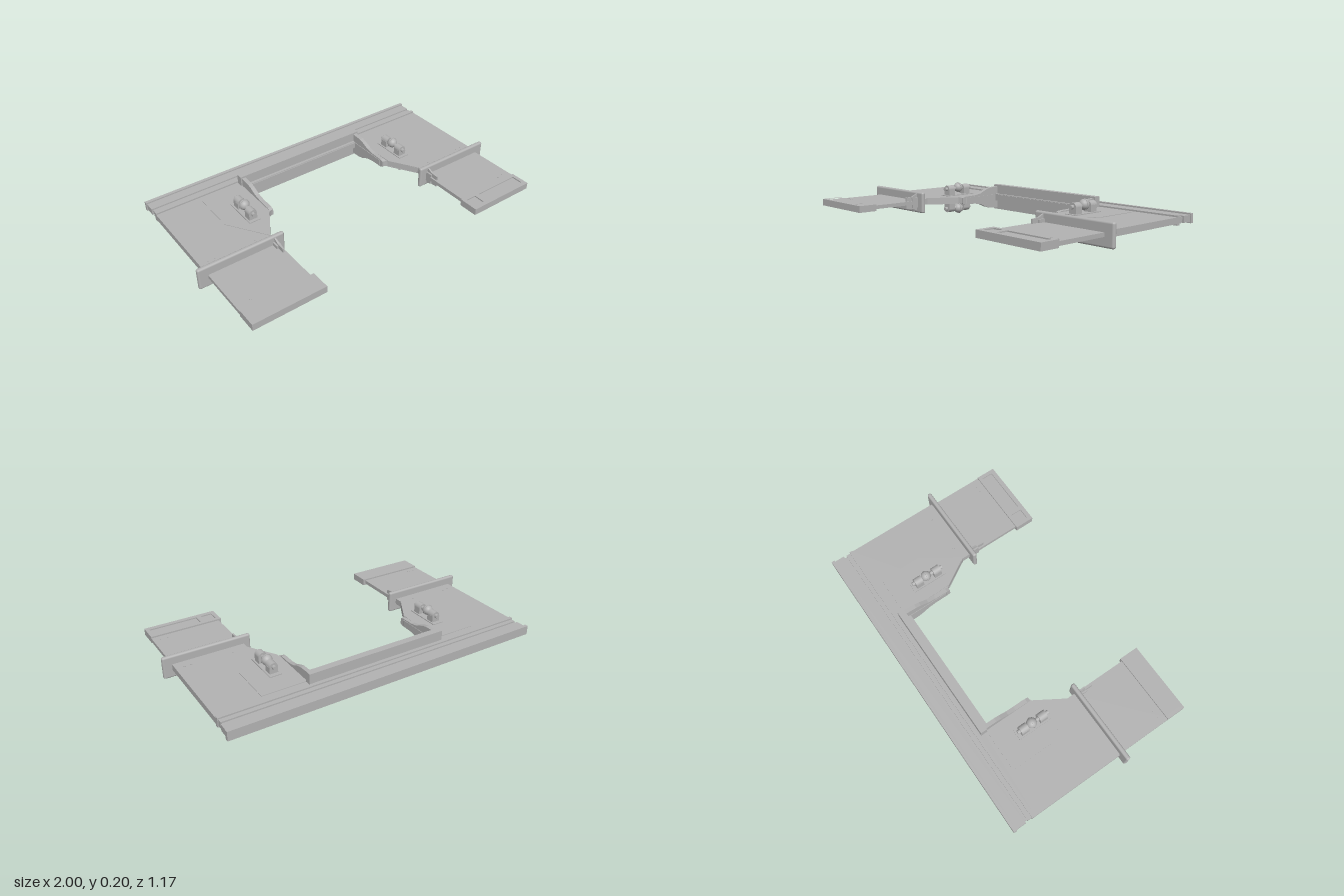
import * as THREE from 'three';
import { RoundedBoxGeometry } from 'three/addons/geometries/RoundedBoxGeometry.js';

const MID = 0.102; // height of the plane that everything is symmetric about

export function createModel() {
  const root = new THREE.Group();
  const grey = new THREE.MeshStandardMaterial({ color: 0xb2b2b2 });
  grey.name = 'light grey';

  const add = (parent, name, geometry) => {
    const mesh = new THREE.Mesh(geometry, grey);
    mesh.name = name;
    parent.add(mesh);
    return mesh;
  };
  const group = (parent, name) => {
    const g = new THREE.Group();
    g.name = name;
    parent.add(g);
    return g;
  };
  // Box given by its limits
  const box = (parent, name, x0, x1, y0, y1, z0, z1) =>
    add(parent, name, new THREE.BoxGeometry(Math.abs(x1 - x0), y1 - y0, z1 - z0)
      .translate((x0 + x1) / 2, (y0 + y1) / 2, (z0 + z1) / 2));
  // Box centred on the middle plane
  const slab = (parent, name, x0, x1, h, z0, z1) =>
    box(parent, name, x0, x1, MID - h / 2, MID + h / 2, z0, z1);
  const toShape = pts => new THREE.Shape(pts.map(p => new THREE.Vector2(p[0], p[1])));
  // Horizontal sheet from an (x, z) outline
  const sheet = (parent, name, shape, h, y = MID) =>
    add(parent, name, new THREE.ExtrudeGeometry(shape, { depth: h, bevelEnabled: false })
      .rotateX(Math.PI / 2).translate(0, y + h / 2, 0));
  // Upright sheet from a (z, y) outline
  const upright = (parent, name, pts, x, w) =>
    add(parent, name, new THREE.ExtrudeGeometry(toShape(pts), { depth: w, bevelEnabled: false })
      .rotateY(-Math.PI / 2).translate(x + w / 2, 0, 0));
  const rectHole = (x0, x1, z0, z1) =>
    new THREE.Path([[x0, z0], [x1, z0], [x1, z1], [x0, z1]].map(p => new THREE.Vector2(...p)));

  // U-shaped main plate
  const half = [[0.395, -0.375], [0.395, -0.13], [0.41, -0.1], [0.43, -0.09],
    [0.53, 0.08], [0.53, 0.125], [0.95, 0.125], [0.95, -0.445]];
  const outline = [...half, ...half.map(([x, z]) => [-x, z]).reverse()];
  sheet(root, 'mainPlate', toShape(outline), 0.036);

  // Stepped rail along the back
  const rail = group(root, 'backRail');
  slab(rail, 'railFlange', -0.95, 0.95, 0.054, -0.464, -0.443);
  slab(rail, 'railStep', -0.945, 0.945, 0.038, -0.49, -0.464);
  slab(rail, 'railNeck', -0.94, 0.94, 0.022, -0.505, -0.49);
  slab(rail, 'railBody', -0.95, 0.95, 0.038, -0.565, -0.505);
  slab(rail, 'railCap', -0.955, 0.955, 0.054, -0.585, -0.565);

  // Tall cross beam behind the opening
  slab(root, 'crossBeam', -0.43, 0.43, 0.16, -0.437, -0.397);
  for (const v of [1, -1]) {
    const y = MID + v * 0.019;
    box(root, 'edgeStrip', -0.42, 0.42, y - 0.003, y + 0.003, -0.397, -0.38);
  }

  for (const s of [1, -1]) {
    const side = group(root, s > 0 ? 'leftArm' : 'rightArm');

    // Gusset along the inner edge
    const top = [[-0.4, 0.07], [-0.33, 0.066], [-0.3, 0.058], [-0.25, 0.036],
      [-0.2, 0.027], [-0.12, 0.025], [-0.1, 0.018]];
    upright(side, 'gusset', [...top.map(([z, y]) => [z, MID + y]),
      ...top.map(([z, y]) => [z, MID - y]).reverse()], s * 0.41, 0.024);

    for (const v of [1, -1]) {
      const y = h => MID + v * h;
      const lump = (parent, name, x0, x1, h0, h1, z0, z1) =>
        box(parent, name, s * x0, s * x1, Math.min(y(h0), y(h1)), Math.max(y(h0), y(h1)), z0, z1);

      // Thin reinforcing panel
      sheet(side, 'reinforcingPanel', toShape([[0.425, -0.4], [0.685, -0.4], [0.685, -0.14],
        [0.535, 0.085], [0.43, -0.085]].map(([x, z]) => [s * x, z])), 0.004, y(0.019));

      // Ball clamp: two bearing blocks, a rod and a ball on a base
      const clamp = group(side, v > 0 ? 'upperClamp' : 'lowerClamp');
      lump(clamp, 'clampBase', 0.503, 0.572, 0.017, 0.026, -0.277, -0.062);
      for (const z of [-0.105, -0.229]) {
        lump(clamp, 'bearingBlock', 0.512, 0.562, 0.02, 0.064, z - 0.024, z + 0.024);
        add(clamp, 'bearingTop', new THREE.CylinderGeometry(0.025, 0.025, 0.048, 20)
          .rotateX(Math.PI / 2).translate(s * 0.537, y(0.062), z));
      }
      add(clamp, 'clampRod', new THREE.CylinderGeometry(0.012, 0.012, 0.206, 16)
        .rotateX(Math.PI / 2).translate(s * 0.537, y(0.064), -0.167));
      add(clamp, 'clampBall', new THREE.SphereGeometry(0.03, 24, 16)
        .translate(s * 0.537, y(0.069), -0.175));
      add(clamp, 'ballBand', new THREE.CylinderGeometry(0.032, 0.032, 0.008, 24)
        .rotateX(Math.PI / 2).translate(s * 0.537, y(0.069), -0.175));

      // Small rivets on the plate and the blade
      for (const [x, z] of [[0.86, 0.07], [0.9, 0.07], [0.62, 0.07], [0.86, 0.43], [0.9, 0.43]]) {
        add(side, 'rivet', new THREE.CylinderGeometry(0.006, 0.006, 0.004, 10)
          .translate(s * x, y(z > 0.2 ? 0.011 : 0.018), z));
      }
    }

    // Upright collar across the arm
    add(side, 'collar', new RoundedBoxGeometry(0.515, 0.13, 0.026, 3, 0.011)
      .translate(s * 0.7425, MID, 0.142));

    // Fin and lug in front of the collar
    upright(side, 'fin', [[0.15, 0.158], [0.17, 0.15], [0.19, 0.14], [0.236, 0.137],
      [0.236, 0.068], [0.19, 0.064], [0.17, 0.054], [0.15, 0.046]], s * 0.545, 0.01);
    slab(side, 'finLug', s * 0.53, s * 0.56, 0.06, 0.15, 0.195);

    // Sliding blade
    slab(side, 'blade', s * 0.53, s * 0.945, 0.022, 0.12, 0.48);

    // End grip with two recessed windows on both faces
    const grip = group(side, 'endGrip');
    const rim = toShape([[0.515, 0.468], [0.945, 0.468], [0.945, 0.585], [0.515, 0.585]]
      .map(([x, z]) => [s * x, z]));
    rim.holes.push(rectHole(s * 0.54, s * 0.605, 0.49, 0.558),
      rectHole(s * 0.635, s * 0.922, 0.49, 0.558));
    sheet(grip, 'gripRim', rim, 0.04);
    slab(grip, 'gripCore', s * 0.525, s * 0.935, 0.026, 0.475, 0.575);
  }
  return root;
}
